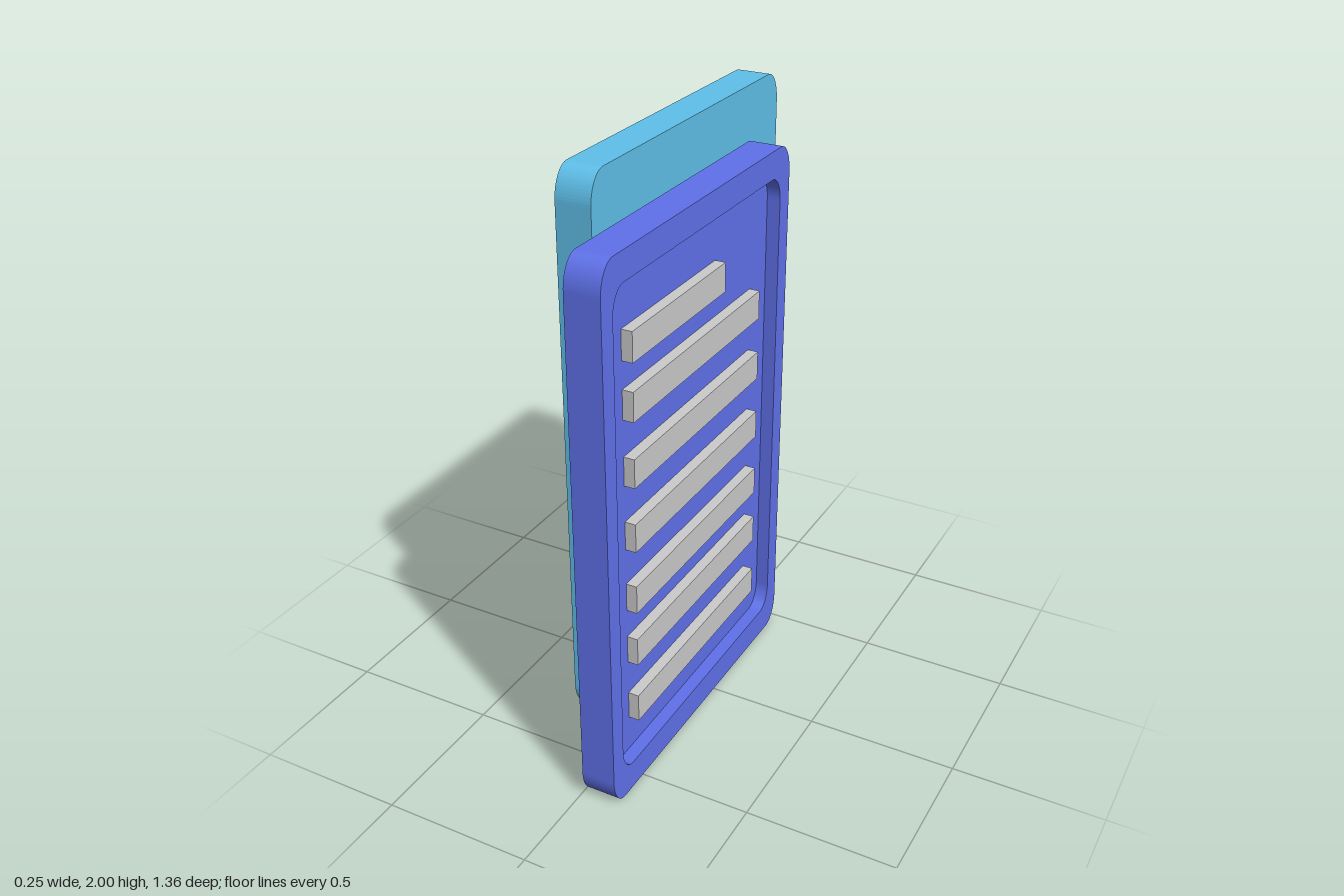
import * as THREE from 'three';

const THICK = 0.115, RECESS = 0.045, BAR_DEPTH = 0.036;

// Rounded rectangle with elliptical corners (rx wide, ry tall)
function roundedRect(path, x0, y0, x1, y1, rx, ry) {
  const q = Math.PI / 2;
  path.moveTo(x0 + rx, y0);
  path.lineTo(x1 - rx, y0);
  path.absellipse(x1 - rx, y0 + ry, rx, ry, -q, 0, false);
  path.lineTo(x1, y1 - ry);
  path.absellipse(x1 - rx, y1 - ry, rx, ry, 0, q, false);
  path.lineTo(x0 + rx, y1);
  path.absellipse(x0 + rx, y1 - ry, rx, ry, q, 2 * q, false);
  path.lineTo(x0, y0 + ry);
  path.absellipse(x0 + rx, y0 + ry, rx, ry, 2 * q, 3 * q, false);
  return path;
}

const outline = () => roundedRect(new THREE.Shape(), -0.68, 0, 0.49, 1.835, 0.068, 0.1);

// Extrude toward +x, starting at the given x
function extrudeX(shape, start, depth) {
  const geo = new THREE.ExtrudeGeometry(shape, { depth, bevelEnabled: false, curveSegments: 8 });
  return geo.translate(0, 0, start).rotateY(Math.PI / 2);
}

function addMesh(parent, name, geometry, material) {
  const mesh = new THREE.Mesh(geometry, material);
  mesh.name = name;
  parent.add(mesh);
}

// One tray: back plate, raised rim and a column of text-line bars
function createPanel(name, color) {
  const panel = new THREE.Group();
  panel.name = name;
  const body = new THREE.MeshStandardMaterial({ color });
  const grey = new THREE.MeshStandardMaterial({ color: 0xcccccc });
  const x0 = 0.012, floor = x0 + THICK - RECESS;

  addMesh(panel, 'backPlate', extrudeX(outline(), x0, THICK - RECESS), body);

  const rim = outline();
  rim.holes.push(roundedRect(new THREE.Path(), -0.62, 0.097, 0.425, 1.743, 0.06, 0.085));
  addMesh(panel, 'rim', extrudeX(rim, floor, RECESS), body);

  // Bars, bottom to top; the top one is shorter
  const heights = [0.27, 0.487, 0.682, 0.902, 1.122, 1.339, 1.526];
  heights.forEach((y, i) => {
    const end = i === heights.length - 1 ? -0.062 : -0.308;
    const start = 0.505;
    const geo = new THREE.BoxGeometry(BAR_DEPTH, 0.097, start - end);
    geo.translate(floor + BAR_DEPTH / 2, y, (start + end) / 2);
    addMesh(panel, 'bar', geo, grey);
  });
  return panel;
}

export function createModel() {
  const model = new THREE.Group();
  model.name = 'pairedPanels';
  model.add(createPanel('lowerPanel', 0x5f71ea));

  // Second panel stands back to back with the first, slightly higher
  const upper = createPanel('upperPanel', 0x5fc0ea);
  upper.rotation.y = Math.PI;
  upper.position.y = 0.165;
  model.add(upper);
  return model;
}
